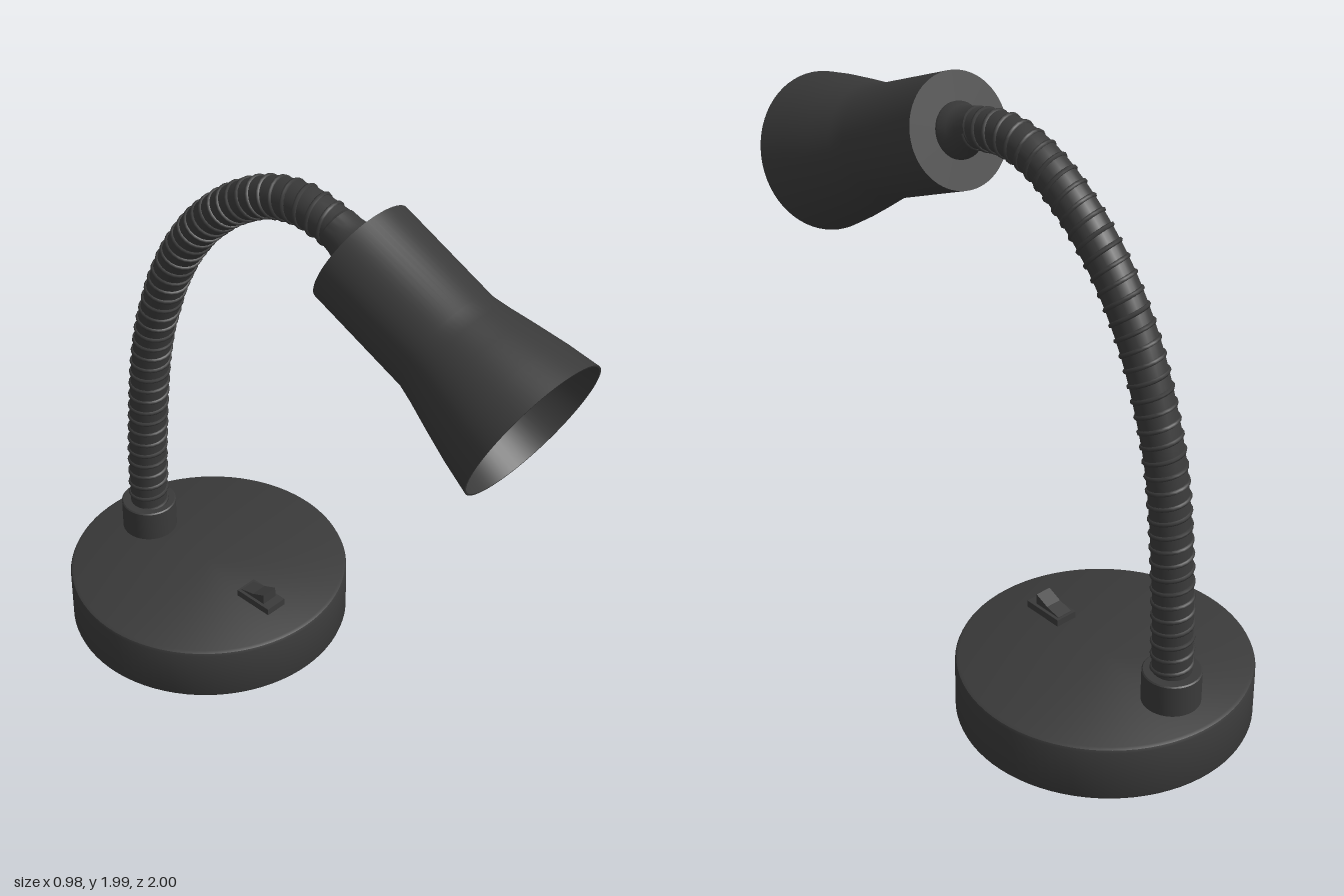
import * as THREE from 'three';
import { toCreasedNormals } from 'three/addons/utils/BufferGeometryUtils.js';

const dark = new THREE.MeshStandardMaterial({ color: 0x3a3a3a, side: THREE.DoubleSide });
const glow = new THREE.MeshStandardMaterial({ color: 0xb0aa55, side: THREE.DoubleSide });

function add(parent, name, geometry, material = dark) {
  const mesh = new THREE.Mesh(geometry, material);
  mesh.name = name;
  parent.add(mesh);
  return mesh;
}

// Turned part from [radius, height] pairs, with hard edges kept sharp
function turned(profile, segments = 64) {
  const points = profile.map(([r, y]) => new THREE.Vector2(r, y));
  return toCreasedNormals(new THREE.LatheGeometry(points, segments), 0.5);
}

// Wire wound around a planar path in the yz plane
class Winding extends THREE.Curve {
  constructor(path, radius, turns) {
    super();
    Object.assign(this, { path, radius, turns });
  }
  getPoint(t, target = new THREE.Vector3()) {
    const side = new THREE.Vector3(1, 0, 0);
    const normal = this.path.getTangentAt(t).cross(side);
    const a = t * this.turns * Math.PI * 2;
    return target.copy(this.path.getPointAt(t))
      .addScaledVector(side, this.radius * Math.cos(a))
      .addScaledVector(normal, this.radius * Math.sin(a));
  }
}

export function createModel() {
  const lamp = new THREE.Group();
  lamp.name = 'deskLamp';

  // Round base with softened rims
  const base = add(lamp, 'base', turned([
    [0, 0], [0.478, 0], [0.487, 0.004], [0.49, 0.012],
    [0.49, 0.186], [0.486, 0.195], [0.476, 0.2], [0, 0.2],
  ], 80));
  base.position.z = -0.51;

  // Collar that holds the neck
  const collar = add(lamp, 'neckCollar', turned([
    [0, 0.19], [0.097, 0.19], [0.097, 0.311], [0.093, 0.315], [0, 0.315],
  ], 40));
  collar.position.z = -0.815;

  // Rocker switch: plate and wedge
  const rocker = new THREE.Group();
  rocker.name = 'switch';
  rocker.position.set(-0.022, 0.2, -0.225);
  lamp.add(rocker);
  add(rocker, 'switchPlate', new THREE.BoxGeometry(0.08, 0.025, 0.15)).position.y = 0.0125;
  const wedge = new THREE.Shape([
    new THREE.Vector2(-0.042, 0.02), new THREE.Vector2(0.066, 0.02),
    new THREE.Vector2(0.066, 0.027), new THREE.Vector2(0.01, 0.04),
    new THREE.Vector2(-0.042, 0.063),
  ]);
  const wedgeGeometry = new THREE.ExtrudeGeometry(wedge, { depth: 0.058, bevelEnabled: false });
  wedgeGeometry.translate(0, 0, -0.029).rotateY(Math.PI / 2);
  add(rocker, 'switchRocker', wedgeGeometry);

  // Flexible neck: smooth core with a wound wire
  const path = new THREE.CatmullRomCurve3([
    [-0.815, 0.28], [-0.803, 0.6], [-0.758, 1.0], [-0.705, 1.2], [-0.62, 1.41],
    [-0.49, 1.61], [-0.32, 1.77], [-0.16, 1.86], [-0.03, 1.885], [0.11, 1.864],
  ].map(([z, y]) => new THREE.Vector3(0, y, z)));
  add(lamp, 'neck', new THREE.TubeGeometry(path, 90, 0.065, 24));
  add(lamp, 'neckWinding', new THREE.TubeGeometry(new Winding(path, 0.064, 42), 900, 0.008, 6));

  // Lamp head, built along its own axis from the back to the mouth
  const head = new THREE.Group();
  head.name = 'head';
  head.position.set(0, 1.8225, 0.2025);
  head.rotation.x = Math.atan2(0.912, -0.41);
  lamp.add(head);

  add(head, 'headJoint', turned([
    [0, -0.12], [0.06, -0.12], [0.067, -0.11], [0.07, -0.07],
    [0.078, -0.035], [0.092, -0.008], [0.092, 0.01],
  ], 40));

  const flare = [[0.188, 0.38], [0.2, 0.44], [0.222, 0.53], [0.247, 0.64], [0.267, 0.75]];
  const inner = flare.map(([r, y]) => [r - 0.006, y]).reverse();
  add(head, 'shade', turned([
    [0, 0], [0.189, 0], ...flare, ...inner, [0.182, 0.03], [0, 0.03],
  ]));

  // Lit disc inside the shade
  const disc = add(head, 'lightDisc', new THREE.CircleGeometry(0.215, 48), glow);
  disc.rotation.x = -Math.PI / 2;
  disc.position.y = 0.52;

  return lamp;
}
